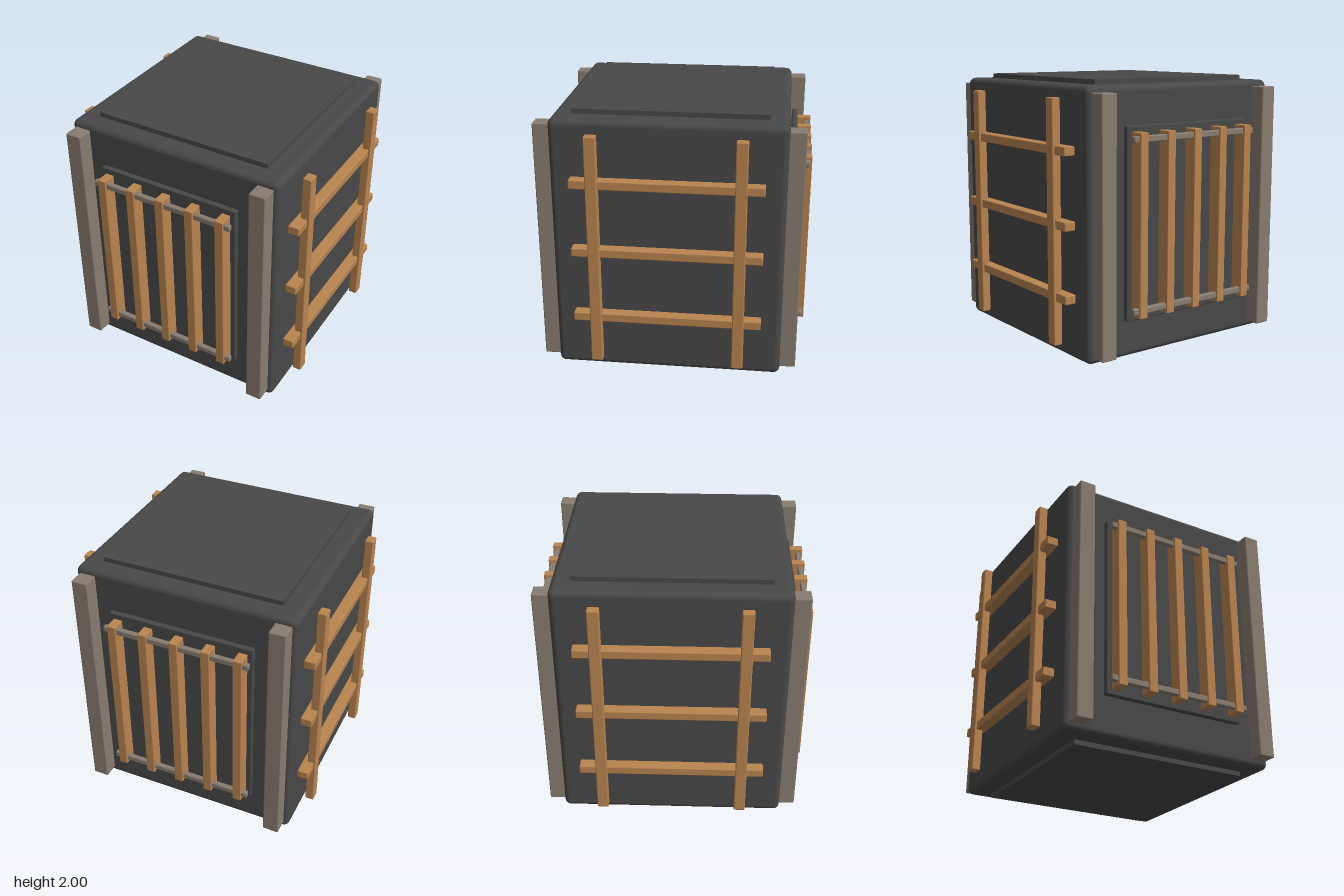
import * as THREE from 'three';
import { RoundedBoxGeometry } from 'three/addons/geometries/RoundedBoxGeometry.js';

export function createModel() {
  const model = new THREE.Group();
  model.name = 'slattedCrate';

  const mat = (name, color) => {
    const m = new THREE.MeshStandardMaterial({ color });
    m.name = name;
    return m;
  };
  const charcoal = mat('charcoal', 0x484848);
  const timber = mat('timber', 0xb98450);
  const greyWood = mat('greyWood', 0x887c70);

  // Softly rounded block given by its size and centre
  const block = (parent, name, material, size, pos, radius = 0.008) => {
    const mesh = new THREE.Mesh(new RoundedBoxGeometry(...size, 2, radius), material);
    mesh.name = name;
    mesh.position.set(...pos);
    parent.add(mesh);
    return mesh;
  };

  // Main body with a raised plate on the top and one on the bottom
  block(model, 'body', charcoal, [1.67, 1.93, 1.67], [0, 1, 0], 0.045).geometry =
    new RoundedBoxGeometry(1.67, 1.93, 1.67, 4, 0.045);
  for (const [name, y] of [['topPlate', 1.975], ['bottomPlate', 0.025]]) {
    const plate = new THREE.Mesh(new THREE.BoxGeometry(1.36, 0.05, 1.39), charcoal);
    plate.name = name;
    plate.position.y = y;
    model.add(plate);
  }

  // Front and back: corner posts and a barred panel
  for (const [name, turn] of [['front', 0], ['back', Math.PI]]) {
    const face = new THREE.Group();
    face.name = name + 'Face';
    face.rotation.y = turn;
    model.add(face);
    for (const s of [-1, 1]) {
      block(face, 'cornerPost', greyWood, [0.122, 1.835, 0.14], [s * 0.738, 1.003, 0.88]);
    }
    block(face, 'backingPanel', charcoal, [1.1, 1.375, 0.043], [0, 1.003, 0.873], 0.01);
    for (const y of [0.405, 1.605]) {
      block(face, 'crossRail', greyWood, [1.11, 0.046, 0.04], [0, y, 0.965], 0.01);
    }
    for (let i = -2; i <= 2; i++) {
      block(face, 'uprightBar', timber, [0.066, 1.296, 0.105], [i * 0.24, 1.003, 0.9475], 0.005);
    }
  }

  // Left and right: ladder of two uprights over three rungs
  for (const [name, s] of [['left', 1], ['right', -1]]) {
    const ladder = new THREE.Group();
    ladder.name = name + 'Ladder';
    model.add(ladder);
    for (const z of [-0.521, 0.521]) {
      block(ladder, 'ladderUpright', timber, [0.066, 1.752, 0.084], [s * 0.905, 1.004, z]);
    }
    for (const y of [0.485, 1.004, 1.523]) {
      block(ladder, 'ladderRung', timber, [0.085, 0.066, 1.37], [s * 0.88, y, 0]);
    }
  }

  return model;
}
